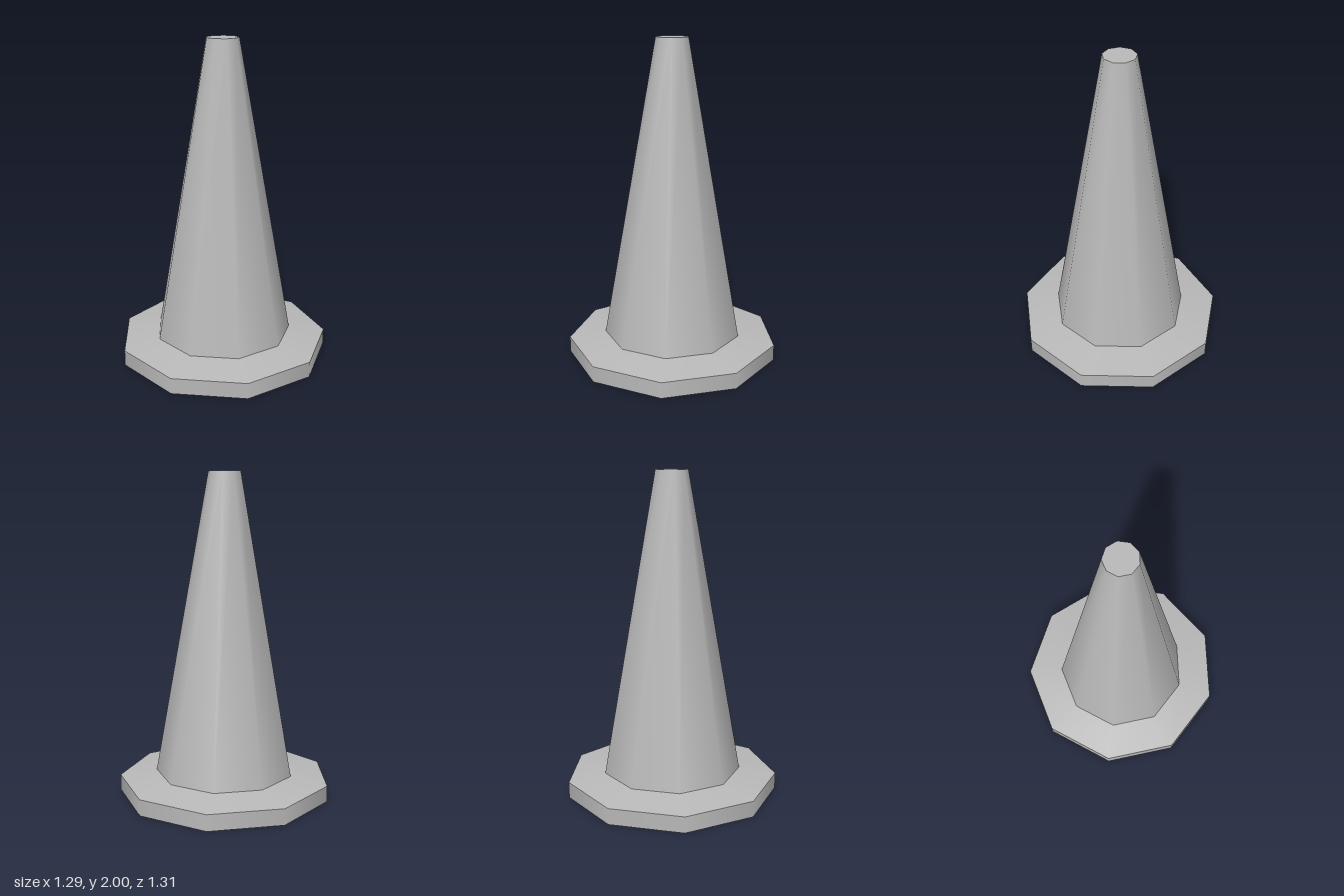
import * as THREE from 'three';

const SIDES = 9;

export function createModel() {
  const grey = new THREE.MeshStandardMaterial({ color: 0xb8b8b8 });
  grey.name = 'plain grey';

  const model = new THREE.Group();
  model.name = 'trafficCone';

  // Nine-sided tapered ring with one corner pointing to +x
  function addTaper(name, rTop, rBottom, yBottom, yTop, open) {
    const geometry = new THREE.CylinderGeometry(
      rTop, rBottom, yTop - yBottom, SIDES, 1, open, Math.PI / 2);
    const mesh = new THREE.Mesh(geometry, grey);
    mesh.name = name;
    mesh.position.set(-0.021, (yBottom + yTop) / 2, 0);
    model.add(mesh);
    return mesh;
  }

  // Flat foot, its gently sloping top, and the tall body
  addTaper('baseRim', 0.664, 0.664, 0, 0.1, false);
  addTaper('baseSlope', 0.433, 0.664, 0.1, 0.135, true);
  addTaper('coneBody', 0.1, 0.433, 0.135, 2, false);

  return model;
}
